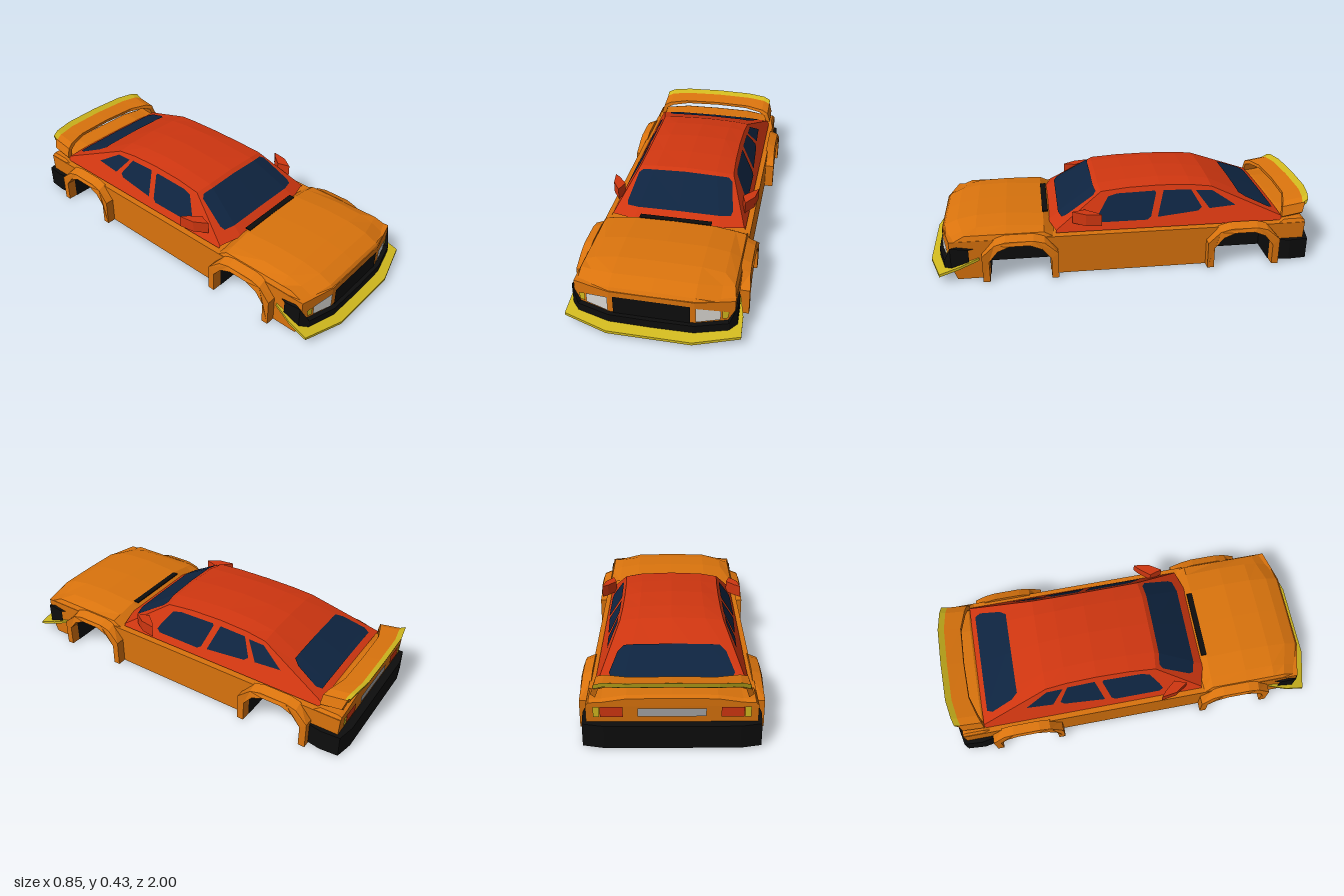
import * as THREE from 'three';

const mat = (name, color) => new THREE.MeshStandardMaterial({ name, color, side: THREE.DoubleSide });

export function createModel() {
  const orange = mat('orange paint', 0xd9730d), red = mat('red paint', 0xcf3610),
    navy = mat('navy glass', 0x0e2440), black = mat('black trim', 0x0d0d0d),
    yellow = mat('yellow trim', 0xd0b81e), white = mat('lamp white', 0xd9d7d2),
    grey = mat('plate grey', 0xa3a3a5);
  const car = new THREE.Group();
  car.name = 'car';

  // ---- helpers ----
  const add = (name, geo, m, mirror = false) => {
    for (const s of mirror ? [1, -1] : [1]) {
      const mesh = new THREE.Mesh(geo, m);
      mesh.name = mirror ? (s > 0 ? 'left ' : 'right ') + name : name;
      mesh.scale.x = s;
      car.add(mesh);
    }
  };
  // rows of [x, y, z] joined by flat-shaded quads
  const loft = (rows, caps = false) => {
    const pos = [];
    const tri = (a, b, c) => pos.push(...a, ...b, ...c);
    for (let i = 0; i < rows.length - 1; i++)
      for (let j = 0; j < rows[i].length - 1; j++) {
        tri(rows[i][j], rows[i + 1][j], rows[i + 1][j + 1]);
        tri(rows[i][j], rows[i + 1][j + 1], rows[i][j + 1]);
      }
    if (caps) for (const r of [rows[0], rows[rows.length - 1]])
      for (let j = 1; j < r.length - 1; j++) {
        if (r === rows[0]) tri(r[0], r[j], r[j + 1]);
        else tri(r[0], r[j + 1], r[j]);
      }
    const g = new THREE.BufferGeometry();
    g.setAttribute('position', new THREE.Float32BufferAttribute(pos, 3));
    g.computeVertexNormals();
    return g;
  };
  const shape = pts => new THREE.Shape(pts.map(p => new THREE.Vector2(...p)));
  const extrude = (s, depth) => new THREE.ExtrudeGeometry(s, { depth, bevelEnabled: false });
  // side outline (z, y) extruded inwards from x, and plan outline (x, z) extruded down from y
  const sideSolid = (pts, x, depth) => extrude(shape(pts), depth).rotateY(-Math.PI / 2).translate(x, 0, 0);
  const planSolid = (pts, y, depth) => extrude(shape(pts), depth).rotateX(Math.PI / 2).translate(0, y, 0);
  const warp = (g, fn) => {
    const p = g.attributes.position;
    for (let i = 0; i < p.count; i++) p.setXYZ(i, ...fn(p.getX(i), p.getY(i), p.getZ(i)));
    g.computeVertexNormals();
    return g;
  };
  const flatPlate = (pts, fn) => warp(new THREE.ShapeGeometry(shape(pts)), fn);
  const both = pts => [...pts, ...pts.slice().reverse().map(([x, z]) => [-x, z])];
  const mirrorRow = half => [...half, ...half.slice(0, -1).reverse().map(([x, y, z]) => [-x, y, z])];
  // the nose sweeps back towards its corners
  const sweep = x => 0.26 * Math.max(0, Math.abs(x) - 0.2);
  const bend = (x, y, z) => [x, y, z > 0.8 ? z - sweep(x) : z];

  // ---- lower body with wheel openings ----
  const wheels = [0.535, -0.615];
  const arch = [[0.155, 0], [0.155, 0.11], [0.11, 0.165], [0.05, 0.19],
    [-0.05, 0.19], [-0.11, 0.165], [-0.155, 0.11], [-0.155, 0]];
  const archAt = zc => arch.map(([z, y]) => [z + zc, y]);
  const nose = [[0.93, 0.208], [0.93, 0.08], [0.9, 0]], tail = [[-0.94, 0], [-0.95, 0.208]];
  add('lower side', warp(sideSolid([...nose, ...archAt(wheels[0]), ...archAt(wheels[1]), ...tail],
    0.378, 0.178), bend), orange, true);
  add('centre floor body', sideSolid([...nose, ...tail], 0.2, 0.4), orange);

  for (const zc of wheels) {
    const end = zc > 0 ? 'front' : 'rear';
    // black wheel housing
    const rim = archAt(zc).map(([z, y]) => [zc + (z - zc) * 0.985, y * 0.985]);
    add(end + ' wheel housing', loft([0.376, 0.203].map(x => rim.map(([z, y]) => [x, y, z]))), black, true);
    add(end + ' housing wall', flatPlate(rim, (z, y) => [0.203, y, z]), black, true);
    // flared fender around the opening
    const flare = [[-0.19, 0], [-0.19, 0.14], [-0.125, 0.215], [-0.07, 0.23],
      [0.07, 0.23], [0.125, 0.215], [0.19, 0.14], [0.19, 0]].map(([z, y]) => [z + zc, y]);
    add(end + ' fender flare', warp(sideSolid([...flare, ...archAt(zc)], 0.425, 0.055), (x, y, z) =>
      x > 0.4 && y > 0.195 ? [x - 0.008, y - 0.02, z] : [x, y, z]), orange, true);
  }

  // ---- upper body: bonnet, waist and boot deck ----
  const deck = [[0.93, 0.204], [0.915, 0.225], [0.85, 0.254], [0.75, 0.272], [0.6, 0.277], [0.41, 0.263],
    [0.36, 0.226], [-0.8, 0.226], [-0.84, 0.248], [-0.93, 0.248], [-0.95, 0.24]];
  add('bonnet and deck', loft(deck.map(([z, y]) => {
    const e = Math.max(y - 0.022, 0.203);
    return mirrorRow([[0.378, 0.2, z], [0.378, 0.203, z], [0.365, Math.min(e, 0.232), z],
      [0.31, e + 0.002, z], [0.2, y - 0.003, z], [0, y, z]]).map(p => bend(...p));
  }), true), orange);
  add('cowl vent', new THREE.BoxGeometry(0.37, 0.006, 0.03).translate(0, 0.262, 0.398), black);

  // ---- cabin: roof rows [z, centre y, middle drop, edge drop, edge sweep] ----
  const sideX = y => 0.345 - 0.58 * (y - 0.225);
  const roof = [[0.385, 0.232, 0.001, 0.006, 0.035], [0.12, 0.405, 0.006, 0.018, 0.01],
    [-0.03, 0.419, 0.007, 0.02, 0], [-0.2, 0.427, 0.007, 0.024, 0], [-0.36, 0.418, 0.006, 0.02, 0],
    [-0.47, 0.402, 0.005, 0.016, 0], [-0.83, 0.244, 0.002, 0.008, 0]];
  const at = ([z, y, m, e, back], s, lift = 0) => {
    const a = Math.abs(s), k = Math.max(0, (a - 0.65) / 0.35);
    const drop = a < 0.65 ? m * a / 0.65 : m + (e - m) * k;
    return [s * sideX(y - e), y - drop + lift, z - back * k];
  };
  const spans = f => [f, 0.65, 0, -0.65, -f];
  add('roof', loft(roof.map(r => spans(1).map(s => at(r, s)))), red);
  const edge = roof.map(r => at(r, 1));
  add('cabin side', flatPlate([...edge.map(p => [p[2], p[1]]), [-0.83, 0.215], [0.35, 0.215]],
    (z, y) => [sideX(y), y, z]), red, true);

  // ---- glass ----
  const glass = (a, b, stops) => loft(stops.map(([t, f]) => spans(f).map(s => {
    const p = at(a, s, 0.005), q = at(b, s, 0.005);
    return p.map((v, i) => v + (q[i] - v) * t);
  })));
  add('windscreen', glass(roof[0], roof[1], [[0.2, 0.83], [0.28, 0.87], [0.84, 0.94], [0.91, 0.88]]), navy);
  add('rear window', glass(roof[5], roof[6], [[0.43, 0.78], [0.52, 0.85], [0.84, 0.88], [0.92, 0.82]]), navy);
  const windows = {
    'front door window': [[0.14, 0.265], [0.125, 0.295], [0.075, 0.365], [0.03, 0.376], [-0.17, 0.38],
      [-0.175, 0.37], [-0.14, 0.265], [-0.12, 0.252], [0.12, 0.252]],
    'rear door window': [[-0.175, 0.262], [-0.215, 0.38], [-0.36, 0.377], [-0.41, 0.295], [-0.39, 0.28]],
    'quarter window': [[-0.385, 0.372], [-0.47, 0.37], [-0.59, 0.297], [-0.45, 0.288]],
  };
  for (const [name, pts] of Object.entries(windows))
    add(name, flatPlate(pts, (z, y) => [sideX(y) + 0.004, y, z]), navy, true);

  // ---- door mirrors ----
  add('door mirror', planSolid([[0.39, 0.12], [0.378, 0.2], [0.335, 0.265], [0.315, 0.2], [0.36, 0.145]],
    0.32, 0.062), red, true);

  // ---- front face ----
  const onNose = (x, y) => [x, y, 0.935 - sweep(x)];
  add('grille', flatPlate(both([[0.18, 0.185], [0.18, 0.085]]), onNose), black);
  add('headlight', flatPlate([[0.205, 0.098], [0.315, 0.108], [0.315, 0.158], [0.205, 0.178]], onNose), white, true);
  add('indicator', flatPlate([[0.322, 0.113], [0.347, 0.115], [0.353, 0.15], [0.322, 0.157]], onNose), yellow, true);
  // bumper stations: x, z, low y, high y
  const bumper = [[0.388, 0.79, 0.09, 0.165], [0.39, 0.88, 0.07, 0.18], [0.355, 0.915, 0.06, 0.1],
    [0.2, 0.953, 0.05, 0.09], [0, 0.956, 0.05, 0.09]];
  const bumperRow = ([x, z, lo, hi]) => [[x * 0.94, lo, z - 0.06], [x, lo, z], [x, hi, z], [x * 0.94, hi, z - 0.06]];
  add('front bumper', loft([...bumper, ...bumper.slice(0, -1).reverse().map(([x, ...r]) => [-x, ...r])]
    .map(bumperRow)), black);
  add('front splitter', warp(planSolid(both([[0.2, 1], [0.415, 0.94], [0.41, 0.84], [0.385, 0.74]]), 0, 0.014),
    (x, y, z) => [x, y + 0.033 + (1 - z) * 0.32, z]), yellow);

  // ---- rear face ----
  add('rear bumper', planSolid(both([[0.385, -0.775], [0.402, -0.87], [0.395, -0.965], [0.3, -0.985]]),
    0.12, 0.112), black);
  const onTail = (x, y) => [x, y, -0.955];
  add('number plate', flatPlate(both([[0.15, 0.152], [0.15, 0.192]]), onTail), grey);
  add('tail light', flatPlate([[0.215, 0.15], [0.315, 0.15], [0.315, 0.2], [0.215, 0.2]], onTail), red, true);
  add('tail indicator', flatPlate([[0.318, 0.15], [0.345, 0.15], [0.345, 0.2], [0.318, 0.2]], onTail), yellow, true);

  // ---- rear wing: stations x, front z, rear z, front y ----
  const wing = [[0.355, -0.83, -0.94, 0.235], [0.338, -0.835, -0.955, 0.285], [0.3, -0.85, -0.965, 0.3],
    [0.2, -0.88, -0.982, 0.306], [0, -0.885, -0.985, 0.31]];
  const span = [...wing, ...wing.slice(0, -1).reverse().map(([x, ...r]) => [-x, ...r])];
  add('rear wing', loft(span.map(([x, f, r, y]) => {
    const i = x * 0.94;
    return [[x, y, f], [x, y + 0.02, r], [i, y + 0.004, r], [i, y - 0.016, f], [x, y, f]];
  }), true), orange);
  add('wing lip', loft(span.slice(1, -1).map(([x, f, r, y]) =>
    [[x, y + 0.017, r + 0.015], [x, y + 0.034, r - 0.015], [x, y + 0.012, r - 0.008], [x, y + 0.004, r]])), yellow);

  return car;
}
